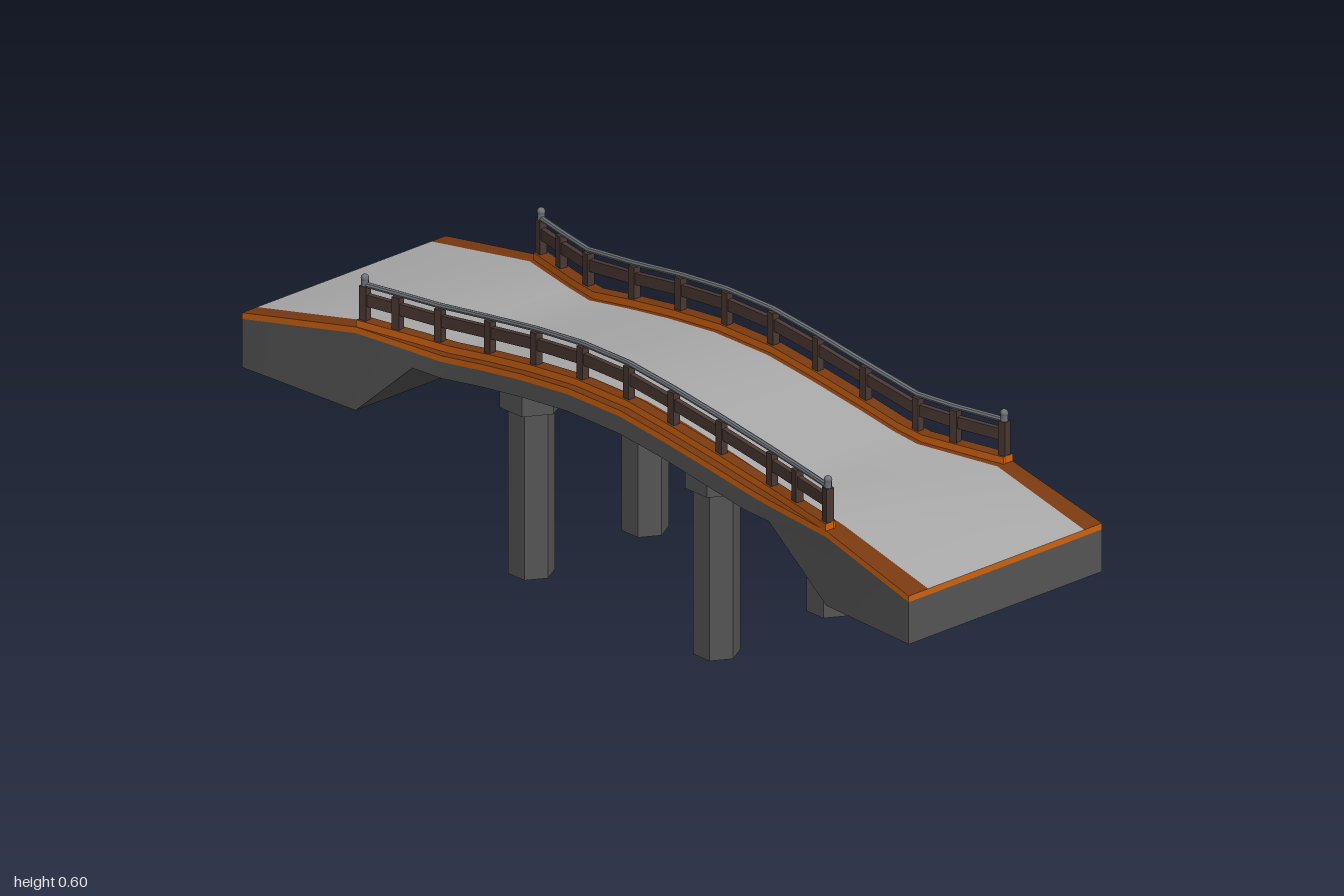
import * as THREE from 'three';
import { toCreasedNormals } from 'three/addons/utils/BufferGeometryUtils.js';

const mat = (color) => new THREE.MeshStandardMaterial({ color, roughness: 0.9 });
const concrete = mat(0x555555), road = mat(0xaaaaaa), orange = mat(0xd0620f),
  brown = mat(0x7a3a10), wood = mat(0x4a3833), metal = mat(0x70757a);

// Stations along the bridge: x, road height, underside, half width, road edge front, road edge back, railing z
const STATIONS = [
  [-1.0, 0.38, 0.257, 0.287, 0.245, 0.245, 0.262],
  [-0.68, 0.445, 0.257, 0.265, 0.222, 0.225, 0.25],
  [-0.53, 0.445, 0.395, 0.245, 0.182, 0.193, 0.217],
  [-0.45, 0.446, 0.395, 0.237, 0.163, 0.178, 0.203],
  [-0.33, 0.466, 0.415, 0.237, 0.163, 0.178, 0.203],
  [-0.21, 0.483, 0.431, 0.237, 0.163, 0.178, 0.203],
  [-0.07, 0.497, 0.445, 0.237, 0.163, 0.178, 0.203],
  [0.09, 0.498, 0.445, 0.237, 0.163, 0.178, 0.203],
  [0.22, 0.484, 0.432, 0.237, 0.163, 0.178, 0.203],
  [0.36, 0.466, 0.412, 0.237, 0.166, 0.178, 0.203],
  [0.47, 0.45, 0.396, 0.237, 0.17, 0.178, 0.203],
  [0.54, 0.443, 0.395, 0.238, 0.175, 0.18, 0.207],
  [0.74, 0.445, 0.277, 0.262, 0.215, 0.22, 0.25],
  [1.0, 0.386, 0.277, 0.272, 0.217, 0.222, 0.26],
];
const XS = STATIONS.map((s) => s[0]);
const BAND = 0.014;

// Station values at any x
function at(x) {
  let i = 1;
  while (i < STATIONS.length - 1 && STATIONS[i][0] < x) i++;
  const a = STATIONS[i - 1], b = STATIONS[i], k = (x - a[0]) / (b[0] - a[0]);
  const [, top, bottom, half, edgeF, edgeB, rail] = a.map((v, j) => v + (b[j] - v) * k);
  return { top, bottom, half, edgeF, edgeB, rail };
}

// Sweeps a section of [z, y] points along x; the section runs clockwise seen from +x
function loft(name, material, xs, section, { closed = false, caps = false } = {}) {
  const rings = xs.map((x) => section(at(x)).map(([z, y]) => [x, y, z]));
  const n = rings[0].length, pos = [];
  const tri = (...points) => points.forEach((p) => pos.push(...p));
  for (let i = 0; i < rings.length - 1; i++) {
    const a = rings[i], b = rings[i + 1];
    for (let j = 0; j < (closed ? n : n - 1); j++) {
      const k = (j + 1) % n;
      tri(a[j], b[j], b[k]);
      tri(a[j], b[k], a[k]);
    }
  }
  if (caps) {
    const s = rings[0], e = rings[rings.length - 1];
    for (let j = 1; j < n - 1; j++) {
      tri(s[0], s[j], s[j + 1]);
      tri(e[0], e[j + 1], e[j]);
    }
  }
  const geo = new THREE.BufferGeometry();
  geo.setAttribute('position', new THREE.Float32BufferAttribute(pos, 3));
  const mesh = new THREE.Mesh(toCreasedNormals(geo, 0.6), material);
  mesh.name = name;
  return mesh;
}

const rect = (z, y, hw, hh) => [[z + hw, y + hh], [z - hw, y + hh], [z - hw, y - hh], [z + hw, y - hh]];

// Curb, posts and rails of one side (s = 1 front, -1 back)
function createRailing(s) {
  const g = new THREE.Group();
  g.name = s > 0 ? 'frontRailing' : 'backRailing';
  const posts = [-0.67, -0.59, -0.485, -0.34, -0.2, -0.06, 0.08, 0.215, 0.36, 0.515, 0.61, 0.73];
  const first = posts[0], last = posts[posts.length - 1];
  const xs = [first - 0.01, ...XS.filter((x) => x > first && x < last), last + 0.01];
  const curbHalf = 0.014, curbHeight = 0.016;

  g.add(loft('curbSides', orange, xs, (p) => {
    const z = s * p.rail, y = p.top;
    return [[z - curbHalf, y + curbHeight], [z - curbHalf, y], [z + curbHalf, y], [z + curbHalf, y + curbHeight]];
  }, { caps: true }));
  g.add(loft('curbTop', brown, xs, (p) =>
    [[s * p.rail + curbHalf, p.top + curbHeight], [s * p.rail - curbHalf, p.top + curbHeight]]));

  g.add(loft('middleRail', wood, posts, (p) => rect(s * p.rail, p.top + 0.061, 0.006, 0.013),
    { closed: true, caps: true }));
  g.add(loft('topRail', metal, posts, (p) => Array.from({ length: 8 }, (_, i) => {
    const t = -i * Math.PI / 4;
    return [s * p.rail + 0.0065 * Math.cos(t + Math.PI), p.top + 0.094 - 0.0065 * Math.sin(t)];
  }).reverse(), { closed: true, caps: true }));

  for (const x of posts) {
    const p = at(x), isEnd = x === first || x === last;
    const height = isEnd ? 0.092 : 0.088;
    const post = new THREE.Mesh(new THREE.BoxGeometry(0.018, height, 0.018), wood);
    post.name = 'post';
    post.position.set(x, p.top + height / 2, s * p.rail);
    // Follow the direction of the railing in plan
    post.rotation.y = -s * Math.atan2(at(x + 0.02).rail - at(x - 0.02).rail, 0.04);
    g.add(post);
    if (!isEnd) continue;
    const pin = new THREE.Mesh(new THREE.CylinderGeometry(0.008, 0.008, 0.018, 10), metal);
    pin.name = 'endPostPin';
    pin.position.set(x, p.top + 0.1, s * p.rail);
    const knob = new THREE.Mesh(new THREE.SphereGeometry(0.009, 10, 8), metal);
    knob.name = 'endPostKnob';
    knob.position.set(x, p.top + 0.109, s * p.rail);
    g.add(pin, knob);
  }
  return g;
}

// Hexagonal column with a wider collar under the deck
function createPier(x, z) {
  const g = new THREE.Group();
  g.name = 'pier';
  const hex = (name, r, y0, y1) => {
    const geo = new THREE.CylinderGeometry(r, r, y1 - y0, 6).rotateY(Math.PI / 6).toNonIndexed();
    geo.computeVertexNormals();
    const m = new THREE.Mesh(geo, concrete);
    m.name = name;
    m.position.y = (y0 + y1) / 2;
    g.add(m);
  };
  hex('pierShaft', 0.05, 0, 0.38);
  hex('pierCollar', 0.067, 0.375, 0.425);
  g.position.set(x, 0, z);
  return g;
}

export function createModel() {
  const model = new THREE.Group();
  model.name = 'bridge';

  // Deck body, coloured edge band and road surface
  model.add(
    loft('deckBody', concrete, XS, (p) => [[-p.half, p.top - BAND], [-p.half, p.bottom],
      [p.half, p.bottom], [p.half, p.top - BAND]], { caps: true }),
    loft('edgeBand', orange, XS, (p) => [[-p.half, p.top], [-p.half, p.top - BAND],
      [p.half, p.top - BAND], [p.half, p.top]], { caps: true }),
    loft('roadSurface', road, XS, (p) => [[p.edgeF, p.top], [-p.edgeB, p.top]]),
    loft('frontBorder', brown, XS, (p) => [[p.half, p.top], [p.edgeF, p.top]]),
    loft('backBorder', brown, XS, (p) => [[-p.edgeB, p.top], [-p.half, p.top]]),
  );

  for (const s of [1, -1]) model.add(createRailing(s));
  for (const x of [-0.26, 0.3]) for (const z of [0.161, -0.159]) model.add(createPier(x, z));
  return model;
}
